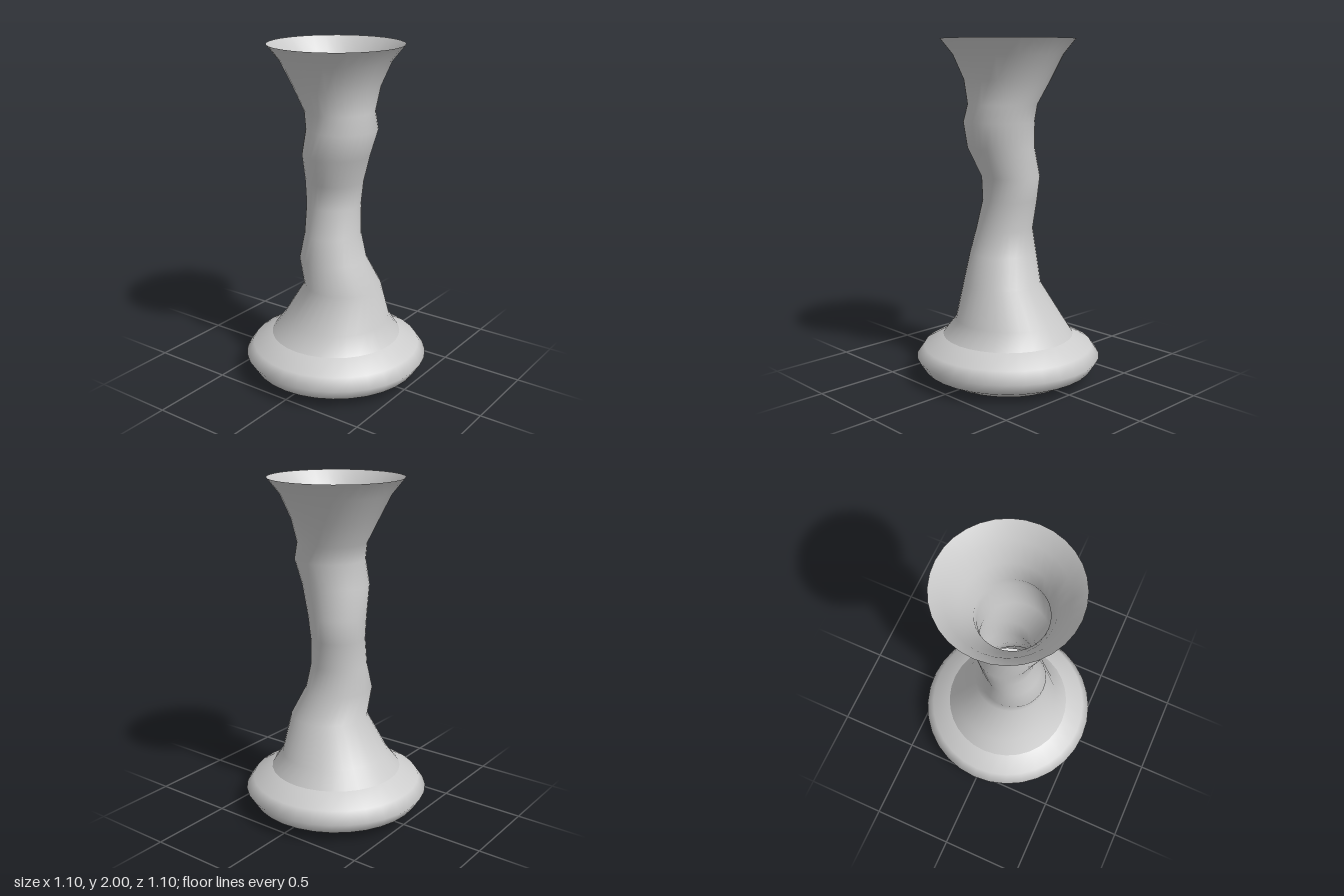
import * as THREE from 'three';

const SIDES = 32;

// Open skin through round cross-sections, listed bottom to top as [y, centreX, centreZ, radius]
function ringSkin(rings) {
  const pos = [];
  const index = [];
  for (const [y, cx, cz, r] of rings) {
    for (let j = 0; j < SIDES; j++) {
      const a = (j / SIDES) * Math.PI * 2;
      pos.push(cx + r * Math.cos(a), y, cz + r * Math.sin(a));
    }
  }
  for (let i = 0; i < rings.length - 1; i++) {
    for (let j = 0; j < SIDES; j++) {
      const k = (j + 1) % SIDES;
      const a = i * SIDES + j, b = i * SIDES + k;
      const c = a + SIDES, d = b + SIDES;
      index.push(a, c, b, b, c, d);
    }
  }
  const geo = new THREE.BufferGeometry();
  geo.setAttribute('position', new THREE.Float32BufferAttribute(pos, 3));
  geo.setIndex(index);
  geo.computeVertexNormals();
  return geo;
}

export function createModel() {
  const group = new THREE.Group();
  group.name = 'vase';
  const material = new THREE.MeshStandardMaterial({ color: 0xcccccc, side: THREE.DoubleSide });

  const add = (name, rings) => {
    const mesh = new THREE.Mesh(ringSkin(rings), material);
    mesh.name = name;
    group.add(mesh);
  };

  // Rounded foot, open below and above
  add('foot', [
    [0, 0, 0, 0.39],
    [0.06, 0, 0, 0.505],
    [0.13, 0, 0, 0.55],
    [0.195, 0, 0, 0.505],
    [0.26, 0, 0, 0.39],
  ]);

  // Wavering neck that flares to the foot and to the mouth
  add('neck', [
    [0.26, 0, 0, 0.39],
    [0.36, 0.01, 0, 0.32],
    [0.58, 0, 0.05, 0.23],
    [0.75, -0.037, 0.005, 0.199],
    [0.9, -0.03, 0, 0.168],
    [1.07, 0, -0.015, 0.161],
    [1.21, 0.007, -0.015, 0.172],
    [1.38, -0.033, 0.025, 0.197],
    [1.53, -0.018, 0.056, 0.207],
    [1.63, -0.01, 0.034, 0.203],
    [1.77, 0, 0.005, 0.252],
    [1.91, 0, 0, 0.318],
    [2, 0, 0, 0.39],
  ]);

  return group;
}
